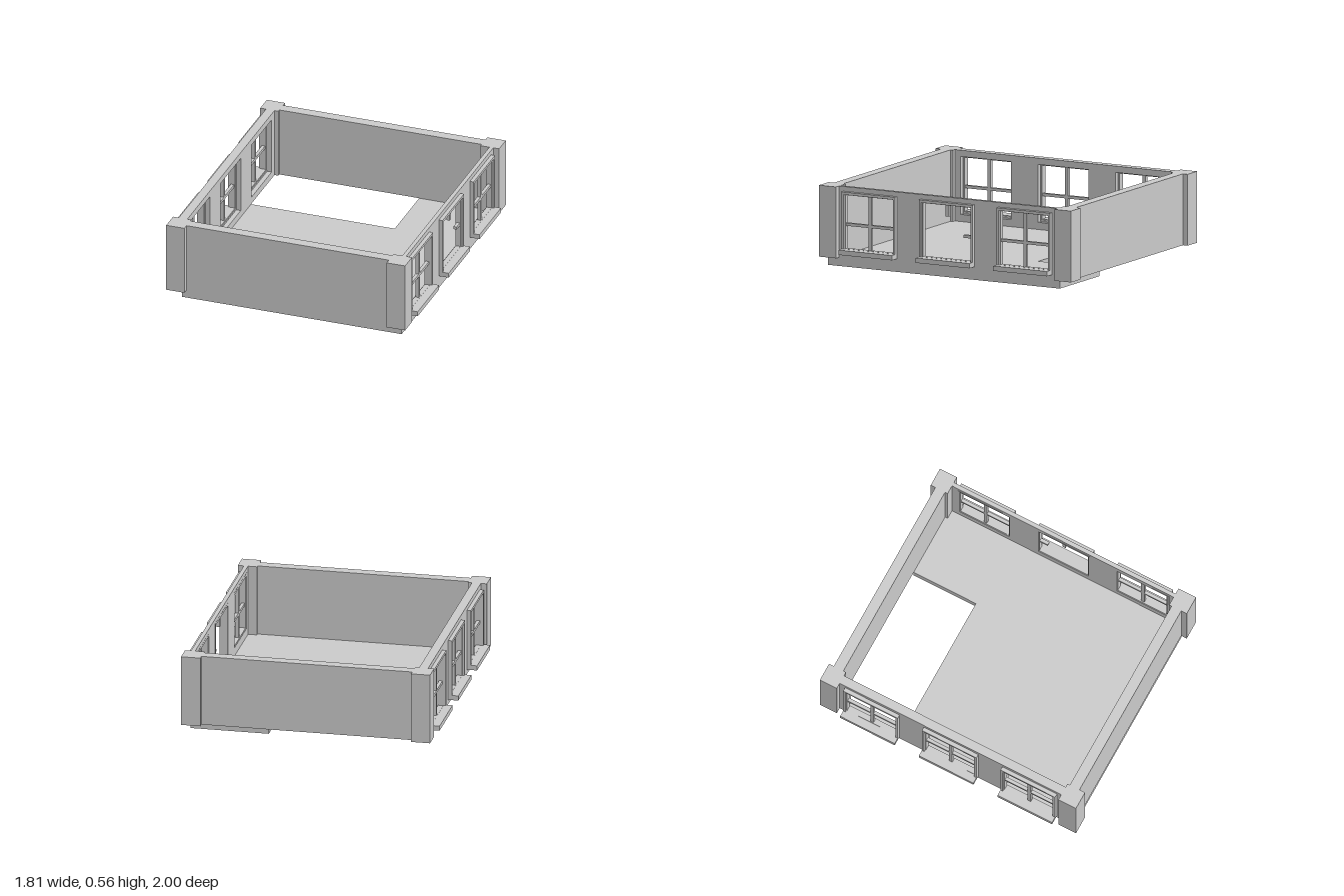
import * as THREE from 'three';

const grey = new THREE.MeshStandardMaterial({ color: 0xcccccc, flatShading: true });

function add(parent, name, geometry) {
  const mesh = new THREE.Mesh(geometry, grey);
  mesh.name = name;
  parent.add(mesh);
  return mesh;
}

// Box given by its extents on each axis
function box(parent, name, [x0, x1], [y0, y1], [z0, z1]) {
  const g = new THREE.BoxGeometry(Math.abs(x1 - x0), y1 - y0, z1 - z0);
  g.translate((x0 + x1) / 2, (y0 + y1) / 2, (z0 + z1) / 2);
  return add(parent, name, g);
}

function rect(Type, [a0, a1], [b0, b1]) {
  const p = new Type();
  p.moveTo(a0, b0).lineTo(a1, b0).lineTo(a1, b1).lineTo(a0, b1).closePath();
  return p;
}

// Upright panel in the z-y plane with rectangular holes, thick along x
function panel(parent, name, [x0, x1], y, [z0, z1], holes) {
  const shape = rect(THREE.Shape, [-z1, -z0], y);
  for (const h of holes) shape.holes.push(rect(THREE.Path, [-h.z[1], -h.z[0]], h.y));
  const g = new THREE.ExtrudeGeometry(shape, { depth: Math.abs(x1 - x0), bevelEnabled: false });
  g.rotateY(Math.PI / 2);
  g.translate(Math.min(x0, x1), 0, 0);
  return add(parent, name, g);
}

const FLOOR = 0.06, TOP = 0.56;
const WINDOWS = [-0.613, 0.002, 0.616];
const around = (c, h) => [c - h, c + h];

function windowUnit(side, outer, c, broken) {
  const unit = new THREE.Group();
  unit.name = broken ? 'brokenWindow' : 'window';
  const at = (d) => outer + side * d;
  // Outer casing, recessed sash and sill
  panel(unit, 'casing', [at(-0.03), at(0.028)], [0.092, 0.527], around(c, 0.213),
    [{ z: around(c, 0.195), y: [0.122, 0.508] }]);
  panel(unit, 'sash', [at(-0.025), at(0.012)], [0.115, 0.515], around(c, 0.2),
    [{ z: around(c, 0.19), y: [0.127, 0.504] }]);
  box(unit, 'sill', [at(-0.02), at(0.072)], [0.092, 0.126], around(c, 0.213));
  // Glazing bars; the broken window keeps only two stubs
  const barX = [at(-0.018), at(0.006)];
  box(unit, 'verticalBar', barX, [broken ? 0.425 : 0.12, 0.51], around(c, 0.012));
  box(unit, 'horizontalBar', barX, [0.288, 0.308], [c - 0.192, broken ? -0.125 : c + 0.192]);
  return unit;
}

export function createModel() {
  const model = new THREE.Group();
  model.name = 'roomStorey';

  // L-shaped floor slab with an opening at the back
  const slab = new THREE.Shape();
  const outline = [[-0.78, -0.953], [0.832, -0.953], [0.832, 0.888], [0.28, 0.888], [0.28, 0.402], [-0.78, 0.402]];
  slab.setFromPoints(outline.map(([x, y]) => new THREE.Vector2(x, y)));
  const floor = new THREE.ExtrudeGeometry(slab, { depth: FLOOR, bevelEnabled: false });
  floor.rotateX(-Math.PI / 2);
  add(model, 'floor', floor);

  // Solid front and back walls
  box(model, 'frontWall', [-0.8, 0.8], [FLOOR, TOP], [0.882, 0.957]);
  box(model, 'backWall', [-0.8, 0.8], [FLOOR, TOP], [-0.963, -0.888]);

  // Corner pillars
  for (const x of [[-0.88, -0.747], [0.739, 0.875]])
    for (const z of [[-1, -0.868], [0.863, 1]]) box(model, 'cornerPillar', x, [FLOOR, TOP], z);

  // Side walls with three windows each
  const holes = WINDOWS.map((c) => ({ z: around(c, 0.2), y: [0.11, 0.515] }));
  for (const [side, outer, inner, name] of [[1, 0.832, 0.803, 'leftWall'], [-1, -0.838, -0.775, 'rightWall']]) {
    const wall = new THREE.Group();
    wall.name = name;
    panel(wall, name + 'Panel', [outer, inner], [FLOOR, TOP], [-0.92, 0.92], holes);
    WINDOWS.forEach((c, i) => wall.add(windowUnit(side, outer, c, side > 0 && i === 1)));
    model.add(wall);
  }
  return model;
}
